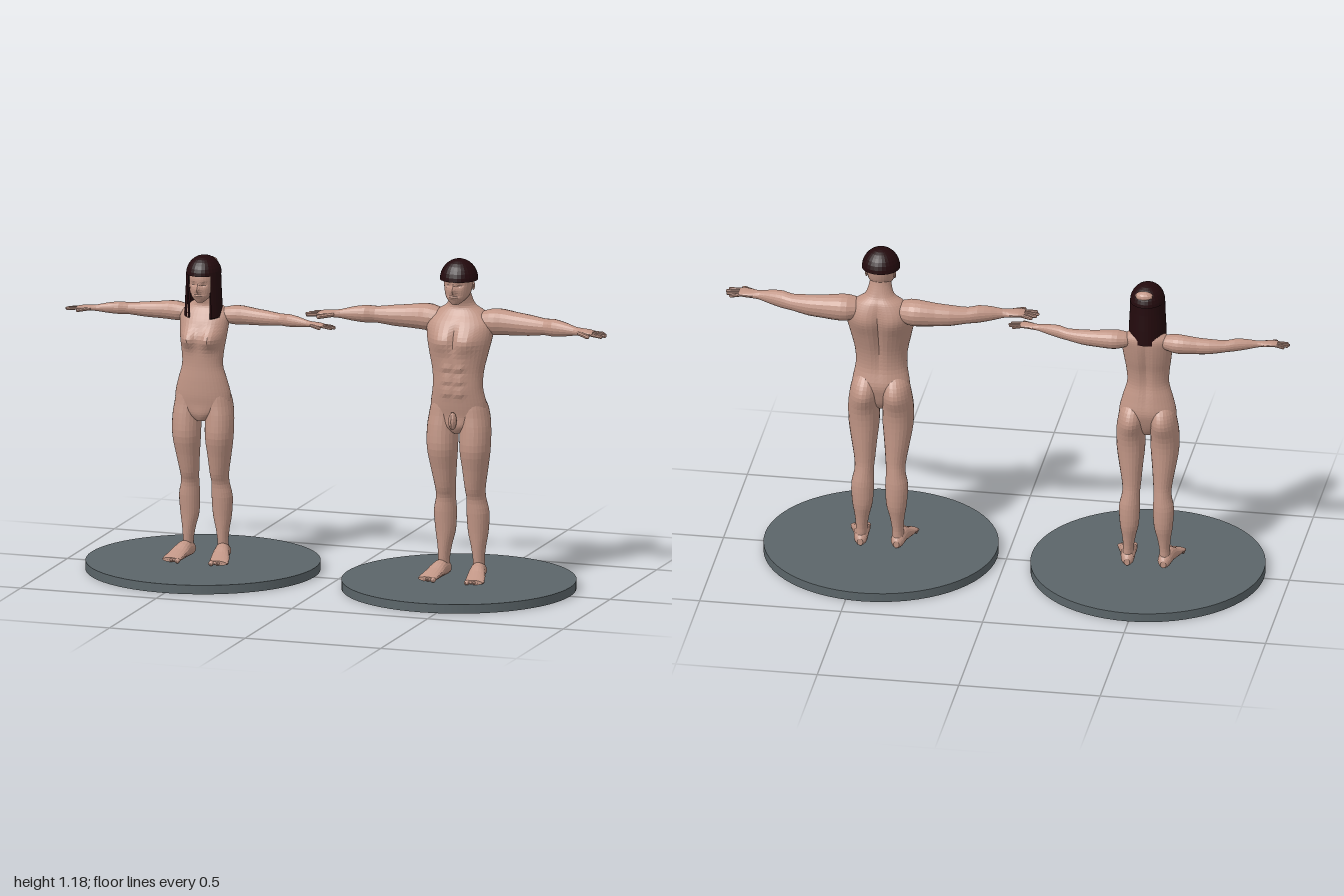
import * as THREE from 'three';

const mat = (name, color, extra = {}) => Object.assign(new THREE.MeshStandardMaterial({ color, ...extra }), { name });

// Catmull-Rom blend through a table of cross-sections
function refine(rows, steps) {
  const out = [];
  for (let i = 0; i < rows.length - 1; i++) {
    const p = [rows[Math.max(0, i - 1)], rows[i], rows[i + 1], rows[Math.min(rows.length - 1, i + 2)]];
    for (let k = 0; k < steps; k++) {
      const t = k / steps;
      out.push(p[1].map((b, j) => {
        const a = p[0][j], c = p[2][j], d = p[3][j];
        return b + 0.5 * t * (c - a + t * (2 * a - 5 * b + 4 * c - d + t * (3 * (b - c) + d - a)));
      }));
    }
  }
  out.push(rows[rows.length - 1]);
  return out;
}

// Closed loft of ellipses [along, c1, c2, r1, r2]; pushes are [x, y, depth, sizeX, sizeY, side]
function loft(rows, axis, { mirror = 1, seg = 18, steps = 2, pushes = [] } = {}) {
  const rings = refine(rows, steps), pos = [], idx = [];
  const place = (t, a, b) => {
    const v = axis === 'y' ? [a, t, b] : axis === 'x' ? [t, a, b] : [a, b, t];
    pos.push(v[0] * mirror, v[1], v[2]);
  };
  for (const [t, c1, c2, r1, r2] of rings) {
    for (let s = 0; s < seg; s++) {
      const a = s / seg * Math.PI * 2, x = c1 + r1 * Math.cos(a);
      let z = c2 + r2 * Math.sin(a);
      for (const [px, py, depth, sx, sy, side] of pushes) {
        const facing = Math.max(0, side * Math.sin(a));
        z += side * depth * Math.sqrt(facing) * Math.exp(-(((x - px) / sx) ** 2) - ((t - py) / sy) ** 2);
      }
      place(t, x, z);
    }
  }
  const n = rings.length, first = rings[0], last = rings[n - 1];
  place(first[0], first[1], first[2]);
  place(last[0], last[1], last[2]);
  const reversed = (axis !== 'y') !== (mirror < 0);
  const face = (a, b, c) => (reversed ? idx.push(a, c, b) : idx.push(a, b, c));
  for (let s = 0; s < seg; s++) {
    const e = (s + 1) % seg;
    for (let r = 0; r < n - 1; r++) {
      const a = r * seg + s, b = r * seg + e, c = a + seg, d = b + seg;
      face(a, c, b);
      face(b, c, d);
    }
    face(s, e, n * seg);
    face((n - 1) * seg + e, (n - 1) * seg + s, n * seg + 1);
  }
  const g = new THREE.BufferGeometry();
  g.setAttribute('position', new THREE.Float32BufferAttribute(pos, 3));
  g.setIndex(idx);
  g.computeVertexNormals();
  return g;
}

const both = (x, ...rest) => [[x, ...rest], [-x, ...rest]];

const MAN = {
  reach: 1, girth: 1, armY: 0, legScale: 1, legGirth: 1, headScale: 1, headY: 0,
  torso: [[0.56, 0, 0.008, 0.02, 0.03], [0.585, 0, 0.006, 0.06, 0.046], [0.62, 0, 0, 0.096, 0.052],
    [0.66, 0, 0, 0.101, 0.059], [0.72, 0, 0.01, 0.091, 0.057], [0.78, 0, 0.008, 0.093, 0.06],
    [0.85, 0, 0, 0.108, 0.072], [0.91, 0, -0.012, 0.12, 0.076], [0.95, 0, -0.02, 0.118, 0.068],
    [0.985, 0, -0.03, 0.088, 0.05], [1.01, 0, -0.028, 0.052, 0.038], [1.05, 0, -0.015, 0.038, 0.038], [1.08, 0, -0.01, 0.036, 0.037]],
  pushes: [...both(0.05, 0.89, 0.018, 0.042, 0.035, 1), ...both(0.024, 0.8, 0.007, 0.016, 0.014, 1),
    ...both(0.024, 0.755, 0.007, 0.016, 0.014, 1), ...both(0.024, 0.71, 0.007, 0.016, 0.014, 1),
    ...both(0.06, 0.92, 0.01, 0.04, 0.05, -1), [0, 0.85, -0.014, 0.016, 0.12, -1], [0, 0.9, -0.01, 0.012, 0.05, 1]],
};

const WOMAN = {
  reach: 0.9, girth: 0.72, armY: -0.045, legScale: 0.95, legGirth: 0.92, headScale: 0.92, headY: -0.062,
  torso: [[0.535, 0, 0.008, 0.02, 0.03], [0.56, 0, 0.006, 0.06, 0.044], [0.595, 0, 0, 0.097, 0.052],
    [0.63, 0, -0.002, 0.1, 0.057], [0.68, 0, 0.002, 0.088, 0.053], [0.73, 0, 0.005, 0.074, 0.048],
    [0.78, 0, 0.003, 0.076, 0.05], [0.83, 0, -0.005, 0.083, 0.054], [0.88, 0, -0.015, 0.089, 0.053],
    [0.915, 0, -0.025, 0.09, 0.045], [0.94, 0, -0.028, 0.06, 0.034], [0.965, 0, -0.02, 0.031, 0.029], [1.01, 0, -0.01, 0.027, 0.028]],
  pushes: [...both(0.043, 0.828, 0.032, 0.032, 0.032, 1), [0, 0.8, -0.01, 0.016, 0.12, -1]],
};

const ARM = [[0.06, 0.953, -0.03, 0.03, 0.035], [0.11, 0.952, -0.036, 0.046, 0.05], [0.15, 0.952, -0.04, 0.046, 0.046],
  [0.2, 0.95, -0.038, 0.041, 0.039], [0.25, 0.949, -0.034, 0.037, 0.036], [0.31, 0.95, -0.024, 0.029, 0.03],
  [0.345, 0.952, -0.012, 0.031, 0.031], [0.39, 0.952, 0, 0.025, 0.025], [0.43, 0.951, 0.01, 0.016, 0.018],
  [0.455, 0.951, 0.016, 0.013, 0.025], [0.485, 0.951, 0.022, 0.012, 0.03], [0.505, 0.95, 0.024, 0.008, 0.027]];

const LEG = [[0.05, 0.066, -0.03, 0.022, 0.026], [0.1, 0.064, -0.028, 0.02, 0.027], [0.15, 0.062, -0.03, 0.026, 0.032],
  [0.2, 0.06, -0.033, 0.036, 0.038], [0.27, 0.06, -0.03, 0.04, 0.041], [0.32, 0.056, -0.025, 0.034, 0.039],
  [0.36, 0.055, -0.015, 0.036, 0.044], [0.43, 0.058, -0.006, 0.045, 0.052], [0.5, 0.06, 0.002, 0.054, 0.06],
  [0.57, 0.06, -0.002, 0.055, 0.06], [0.62, 0.056, -0.007, 0.053, 0.058], [0.66, 0.052, -0.006, 0.048, 0.053],
  [0.69, 0.048, 0, 0.036, 0.04]];

// Rounded seat at the top of each leg
const SEAT = [[0.052, 0.615, 0.016, 0.05, 0.045, -1]];

const FOOT = [[-0.062, 0.064, 0.054, 0.01, 0.013], [-0.045, 0.065, 0.061, 0.023, 0.025], [0, 0.07, 0.066, 0.027, 0.03],
  [0.04, 0.078, 0.056, 0.033, 0.02], [0.08, 0.086, 0.047, 0.035, 0.011], [0.092, 0.088, 0.045, 0.03, 0.008]];

const HEAD = [[1.022, 0, 0.035, 0.014, 0.016], [1.04, 0, 0.022, 0.034, 0.038], [1.06, 0, 0.008, 0.045, 0.054],
  [1.09, 0, 0.002, 0.05, 0.06], [1.12, 0, 0, 0.051, 0.06], [1.145, 0, 0, 0.042, 0.05], [1.162, 0, 0, 0.018, 0.022]];

const FACE = [...both(0.02, 1.092, -0.009, 0.011, 0.008, 1), [0, 1.074, 0.014, 0.008, 0.012, 1],
  [0, 1.048, 0.006, 0.016, 0.005, 1], [0, 1.056, -0.004, 0.02, 0.004, 1]];

export function createModel() {
  const model = new THREE.Group();
  model.name = 'figurePair';
  const skin = mat('skin', 0xc09585, { flatShading: true });
  const hair = mat('hair', 0x230a0d, { flatShading: true, side: THREE.DoubleSide });
  const slate = mat('slate', 0x5b6569);

  const add = (parent, name, geometry, material) => {
    const m = new THREE.Mesh(geometry, material);
    m.name = name;
    parent.add(m);
    return m;
  };
  const ball = (parent, name, material, p, s) => {
    const m = add(parent, name, new THREE.SphereGeometry(1, 12, 8), material);
    m.position.set(...p);
    m.scale.set(...s);
  };

  function figure(name, o, x) {
    const g = new THREE.Group();
    g.name = name;
    g.position.x = x;
    model.add(g);

    // Round stand
    add(g, 'stand', new THREE.CylinderGeometry(0.41, 0.41, 0.032, 64), slate).position.y = 0.016;
    add(g, 'torso', loft(o.torso, 'y', { seg: 40, steps: 4, pushes: o.pushes }), skin);

    // Head with face and ears
    const head = new THREE.Group();
    head.name = 'head';
    head.scale.setScalar(o.headScale);
    head.position.y = 1.025 + o.headY - 1.025 * o.headScale;
    g.add(head);
    add(head, 'skull', loft(HEAD, 'y', { seg: 32, steps: 4, pushes: FACE }), skin);

    for (const s of [1, -1]) {
      ball(head, 'ear', skin, [s * 0.05, 1.082, -0.01], [0.005, 0.016, 0.009]);

      // Arm and hand
      const k = o.girth;
      const arm = ARM.map(([t, cy, cz, ry, rz]) => [t * o.reach, cy + o.armY, cz, ry * k, rz * k]);
      add(g, 'arm', loft(arm, 'x', { mirror: s }), skin);
      const digit = (label, x0, z0, x1, z1, r) => {
        const y = 0.95 + o.armY;
        const start = new THREE.Vector3(s * x0 * o.reach, y, 0.022 + (z0 - 0.022) * k);
        const end = new THREE.Vector3(s * x1 * o.reach, y - 0.004, 0.022 + (z1 - 0.022) * k);
        const d = end.clone().sub(start);
        const m = add(g, label, new THREE.CapsuleGeometry(r * k, d.length(), 3, 8), skin);
        m.position.copy(start).lerp(end, 0.5);
        m.quaternion.setFromUnitVectors(new THREE.Vector3(0, 1, 0), d.normalize());
      };
      for (let i = 0; i < 4; i++) digit('finger', 0.495, 0.003 + i * 0.013, [0.53, 0.543, 0.548, 0.54][i], -0.004 + i * 0.018, 0.0065);
      digit('thumb', 0.455, 0.036, 0.495, 0.064, 0.008);

      // Leg and foot
      const drop = y => 0.04 + (y - 0.04) * o.legScale;
      const leg = LEG.map(([t, cx, cz, rx, rz]) => [drop(t), cx, cz, rx * o.legGirth, rz * o.legGirth]);
      const seat = SEAT.map(([px, py, ...rest]) => [px, drop(py), ...rest]);
      add(g, 'leg', loft(leg, 'y', { mirror: s, seg: 24, steps: 3, pushes: seat }), skin);
      add(g, 'foot', loft(FOOT, 'z', { mirror: s }), skin);
      for (let i = 0; i < 5; i++) {
        const big = i === 0 ? 1.4 : 1;
        ball(g, 'toe', skin, [s * (0.062 + i * 0.0125), 0.044, 0.095 - i * 0.005], [0.007 * big, 0.0065 * big, 0.013]);
      }
    }
    return g;
  }

  const dome = (g, y, z, rx, ry, rz) => {
    const pts = [new THREE.Vector2(0, 0)];
    for (let i = 0; i <= 8; i++) pts.push(new THREE.Vector2(Math.cos(i * Math.PI / 16), Math.sin(i * Math.PI / 16)));
    const m = add(g, 'hairCap', new THREE.LatheGeometry(pts, 28), hair);
    m.position.set(0, y, z);
    m.scale.set(rx, ry, rz);
  };

  // Taller figure with cropped hair
  const man = figure('man', MAN, 0.443);
  dome(man, 1.104, -0.002, 0.067, 0.072, 0.068);
  ball(man, 'groin', skin, [0, 0.61, 0.068], [0.014, 0.032, 0.02]);

  // Shorter figure with long hair, open around the face
  const woman = figure('woman', WOMAN, -0.5);
  dome(woman, 1.055, -0.008, 0.061, 0.064, 0.071);
  const lock = [[0.061, 1.06], [0.062, 1.02], [0.065, 0.96], [0.067, 0.905], [0.056, 0.9], [0.054, 0.96], [0.05, 1.02], [0.05, 1.06]];
  const curtain = add(woman, 'longHair', new THREE.LatheGeometry(lock.map(p => new THREE.Vector2(...p)), 28, 0.72, Math.PI * 2 - 1.44), hair);
  curtain.position.z = -0.006;
  ball(woman, 'crownPatch', skin, [0.004, 1.089, -0.052], [0.032, 0.018, 0.021]);

  return model;
}
